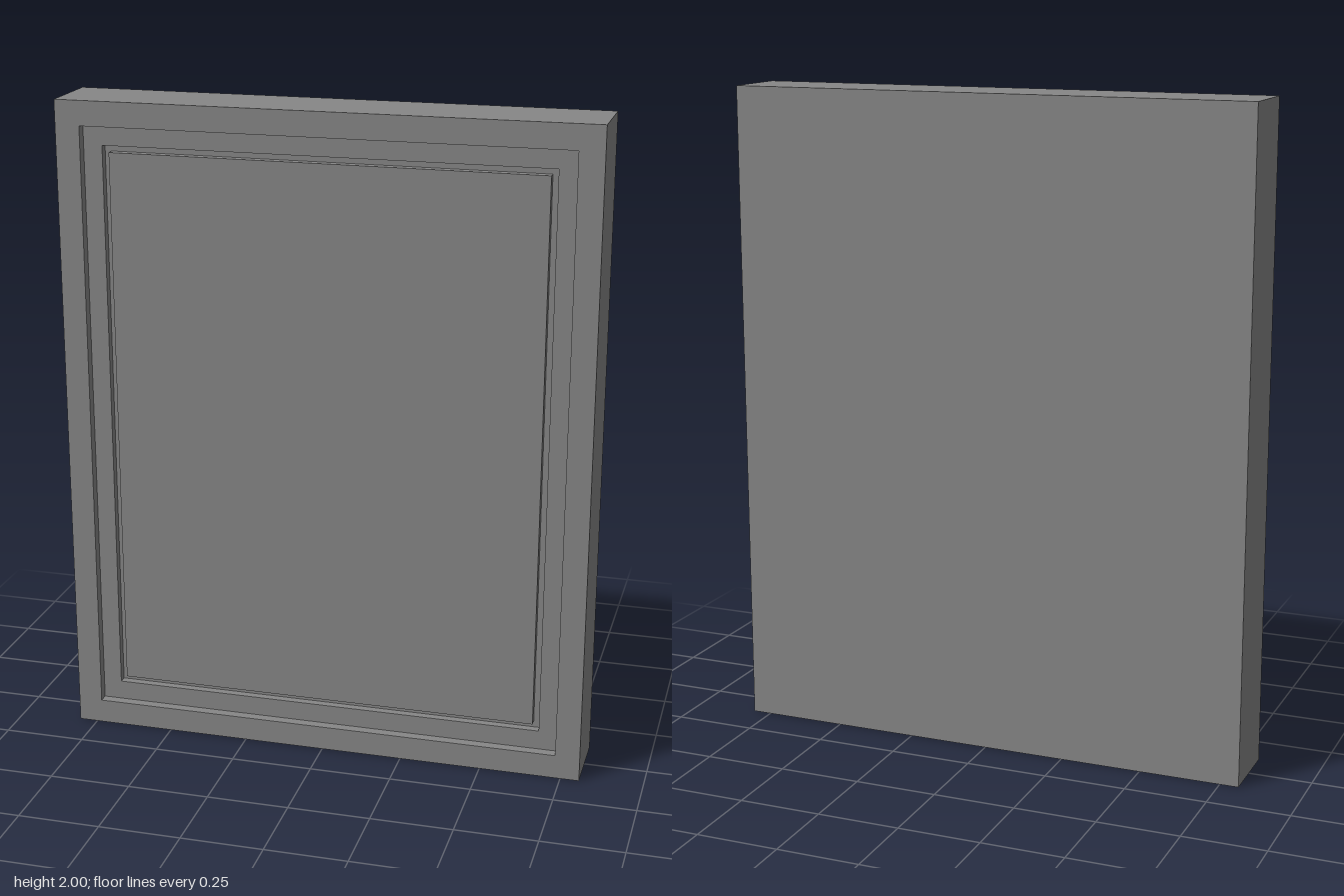
import * as THREE from 'three';

const BACK = -0.113, FRONT = 0.113, LEDGE = 0.082, GROOVE = 0.057;
const CENTRE_Y = 1;

export function createModel() {
  const model = new THREE.Group();
  model.name = 'framedPanel';
  const material = new THREE.MeshStandardMaterial({ color: 0x878787, flatShading: true });

  const trace = (path, w, h) => path
    .moveTo(-w / 2, -h / 2).lineTo(w / 2, -h / 2)
    .lineTo(w / 2, h / 2).lineTo(-w / 2, h / 2).closePath();

  // Rectangular slab between two depths, optionally with a rectangular opening
  function slab(name, [w, h], z0, z1, opening) {
    const shape = new THREE.Shape();
    trace(shape, w, h);
    if (opening) {
      const hole = new THREE.Path();
      trace(hole, ...opening);
      shape.holes.push(hole);
    }
    const geometry = new THREE.ExtrudeGeometry(shape, { depth: z1 - z0, bevelEnabled: false });
    const mesh = new THREE.Mesh(geometry, material);
    mesh.name = name;
    mesh.position.set(0, CENTRE_Y, z0);
    model.add(mesh);
  }

  const outer = [1.615, 2], rebate = [1.465, 1.85], groove = [1.35, 1.73], panel = [1.31, 1.69];

  slab('outerFrame', outer, BACK, FRONT, rebate);          // full-depth border
  slab('backBoard', rebate, BACK, GROOVE);                 // fills the back, floor of the groove
  slab('innerBorder', rebate, GROOVE, LEDGE, groove);      // recessed ledge
  slab('centrePanel', panel, GROOVE, LEDGE);               // panel inside the thin groove

  return model;
}
